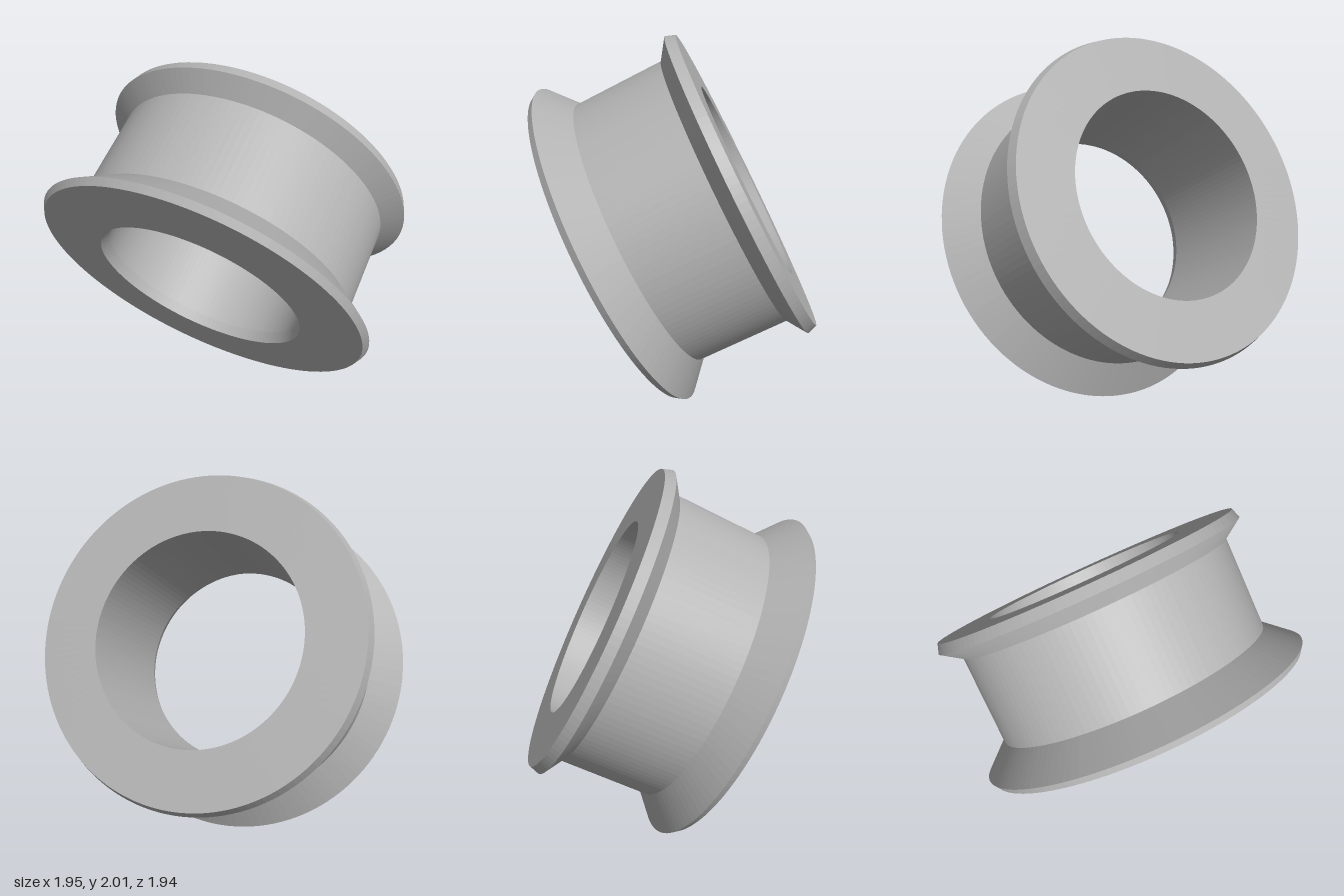
import * as THREE from 'three';

export function createModel() {
  const group = new THREE.Group();
  group.name = 'flangedBushing';

  const steel = new THREE.MeshStandardMaterial({ color: 0xb4b4b4, flatShading: true });
  steel.name = 'plain grey';

  // Revolved bands of one closed profile: [radius, distance along the axis]
  const bands = {
    frontFlange: [[0.595, 0], [0.939, 0], [0.962, 0.037], [0.797, 0.183]],
    barrel: [[0.797, 0.183], [0.797, 0.703]],
    backFlange: [[0.797, 0.703], [0.905, 0.78], [0.885, 0.835], [0.575, 0.835]],
    bore: [[0.575, 0.835], [0.575, 0.06]],
    boreChamfer: [[0.575, 0.06], [0.595, 0]],
  };
  for (const [name, profile] of Object.entries(bands)) {
    const points = profile.map(([r, y]) => new THREE.Vector2(r, y));
    const mesh = new THREE.Mesh(new THREE.LatheGeometry(points, 128), steel);
    mesh.name = name;
    group.add(mesh);
  }

  // Tilt the axis and place the front face; the wrapper keeps the root unrotated
  const axis = new THREE.Vector3(0.62, 0.453, -0.64).normalize();
  group.quaternion.setFromUnitVectors(new THREE.Vector3(0, 1, 0), axis);
  group.position.set(-0.233, 0.838, 0.244);

  const root = new THREE.Group();
  root.name = 'tiltedBushing';
  root.add(group);
  return root;
}
